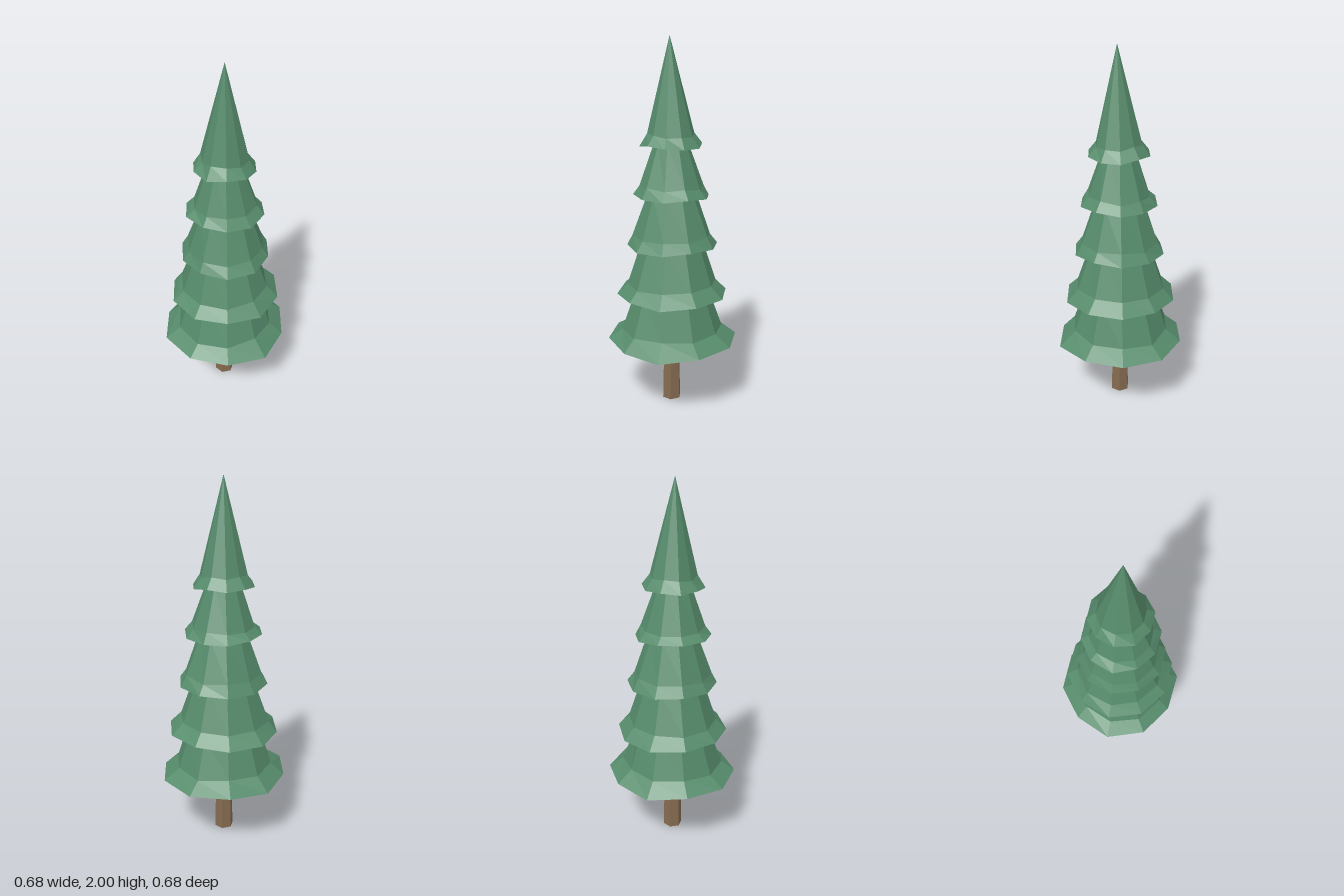
import * as THREE from 'three';

const SIDES = 10;

// Repeatable wobble in -1..1 for a given tier, ring and side
function wobble(tier, ring, side) {
  const s = Math.sin(tier * 37.7 + ring * 91.3 + side * 12.99 + 4.1) * 4375.85;
  return (s - Math.floor(s)) * 2 - 1;
}

// Each tier: rim, shoulder and top given as [radius, height], plus sideways lean of the axis
const TIERS = [
  { rim: [0.351, 0.365], shoulder: [0.272, 0.43], top: [0.2, 0.645], cx: 0, cz: 0 },
  { rim: [0.303, 0.635], shoulder: [0.245, 0.695], top: [0.168, 0.915], cx: 0, cz: 0 },
  { rim: [0.245, 0.91], shoulder: [0.208, 0.965], top: [0.132, 1.18], cx: 0.003, cz: 0.002 },
  { rim: [0.208, 1.18], shoulder: [0.17, 1.23], top: [0.092, 1.45], cx: 0.003, cz: 0.006 },
  { rim: [0.164, 1.445], shoulder: [0.124, 1.5], top: [0, 2], cx: 0.003, cz: 0.005 },
];

// Skirt of branches: closed underside, flared rim, shoulder and narrowing top
function makeTier(t, index, material) {
  const profile = [[0, t.rim[1] - 0.003], t.rim, t.shoulder, t.top];
  const geo = new THREE.LatheGeometry(
    profile.map(([r, y]) => new THREE.Vector2(r, y)), SIDES, Math.PI / 2);
  const pos = geo.attributes.position;
  const n = profile.length;
  for (let k = 0; k < pos.count; k++) {
    const side = Math.floor(k / n) % SIDES;
    const ring = k % n;
    const uneven = ring === 1 || ring === 2;
    const scale = uneven ? 1 + wobble(index, ring, side) * 0.03 : 1;
    const lift = uneven ? wobble(index, ring + 7, side) * 0.009 : 0;
    pos.setXYZ(k, pos.getX(k) * scale + t.cx, pos.getY(k) + lift, pos.getZ(k) * scale + t.cz);
    if (t.top[0] === 0 && ring === 3) pos.setXYZ(k, 0.005, 2, 0.015);
  }
  geo.computeVertexNormals();
  const mesh = new THREE.Mesh(geo, material);
  mesh.name = `branchTier${index + 1}`;
  return mesh;
}

export function createModel() {
  const tree = new THREE.Group();
  tree.name = 'pineTree';

  const needles = new THREE.MeshStandardMaterial({ color: 0x568b6b, flatShading: true });
  needles.name = 'needle green';
  const bark = new THREE.MeshStandardMaterial({ color: 0x856b50, flatShading: true });
  bark.name = 'bark brown';

  // Six-sided tapering trunk, reaching slightly into the lowest tier
  const trunk = new THREE.Mesh(new THREE.CylinderGeometry(0.044, 0.053, 0.4, 6), bark);
  trunk.name = 'trunk';
  trunk.position.set(0, 0.2, 0.002);
  tree.add(trunk);

  // Stacked branch tiers
  const foliage = new THREE.Group();
  foliage.name = 'foliage';
  TIERS.forEach((t, i) => foliage.add(makeTier(t, i, needles)));
  tree.add(foliage);

  return tree;
}
